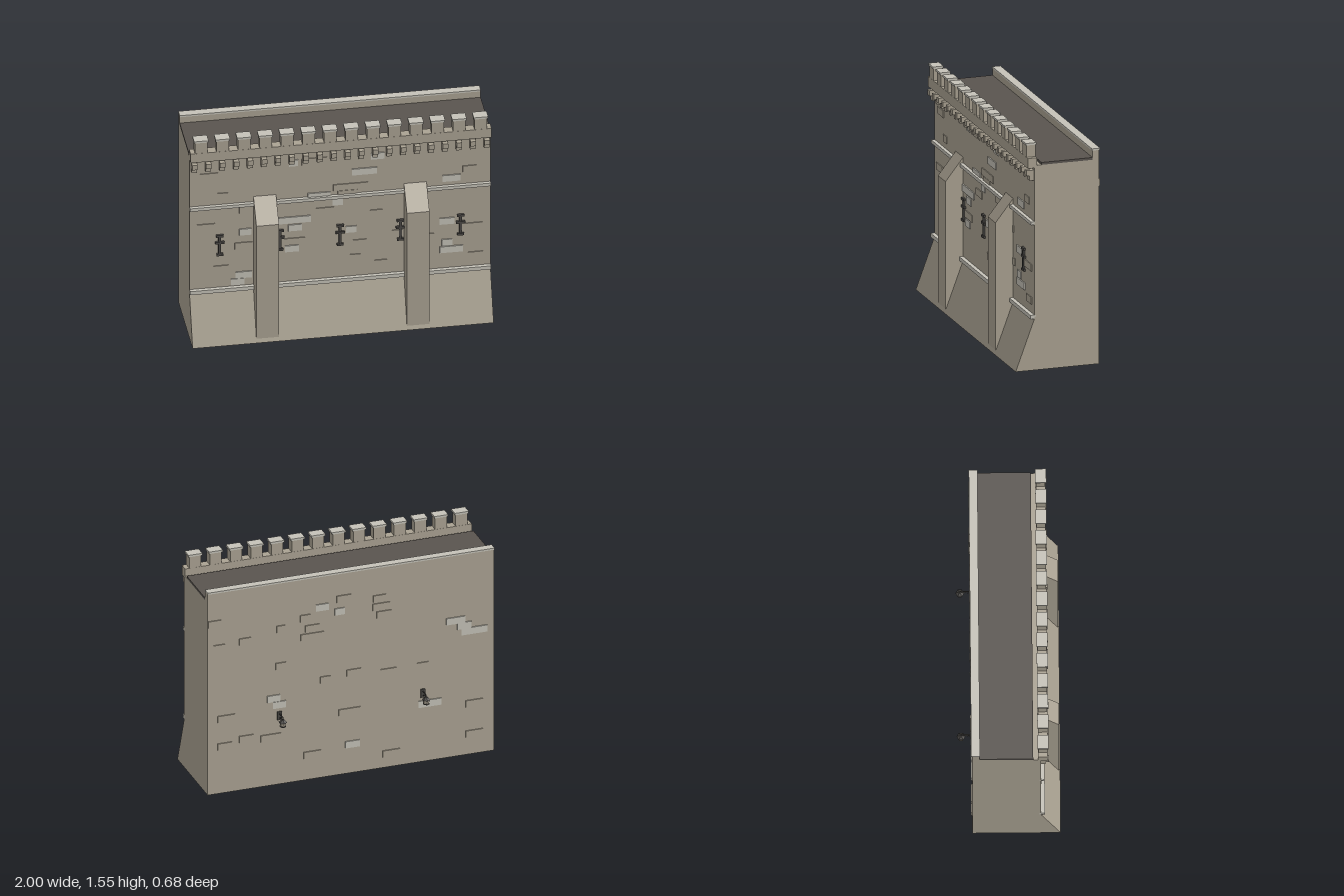
import * as THREE from 'three';

const mat = (name, color) => {
  const m = new THREE.MeshStandardMaterial({ color });
  m.name = name;
  return m;
};

export function createModel() {
  const stone = mat('stone', 0xaba393);
  const paleStone = mat('pale stone', 0xc5c2b8);
  const paving = mat('dark paving', 0x59544f);
  const iron = mat('iron', 0x4a4845);
  const root = new THREE.Group();
  root.name = 'castleWall';

  const add = (name, geo, material, parent = root) => {
    const mesh = new THREE.Mesh(geo, material);
    mesh.name = name;
    parent.add(mesh);
    return mesh;
  };
  // Box given by its limits on each axis
  const block = (name, x0, x1, y0, y1, z0, z1, material, parent) => {
    const geo = new THREE.BoxGeometry(x1 - x0, y1 - y0, z1 - z0);
    geo.translate((x0 + x1) / 2, (y0 + y1) / 2, (z0 + z1) / 2);
    return add(name, geo, material, parent);
  };
  // Side profile in [z, y], extruded across x
  const profile = (name, points, x0, x1, material) => {
    const shape = new THREE.Shape(points.map(([z, y]) => new THREE.Vector2(-z, y)));
    const geo = new THREE.ExtrudeGeometry(shape, { depth: x1 - x0, bevelEnabled: false });
    geo.rotateY(Math.PI / 2);
    geo.translate(x0, 0, 0);
    return add(name, geo, material);
  };

  // Wall with a battered foot
  profile('wallBody', [[0.34, 0], [0.21, 0.35], [0.21, 1.4], [-0.24, 1.4], [-0.24, 0]], -1, 1, stone);
  block('walkway', -1, 1, 1.4, 1.416, -0.193, 0.16, paving);

  // Rear parapet and coping
  block('rearParapet', -1, 1, 1.4, 1.463, -0.24, -0.193, stone);
  block('rearCoping', -1, 1, 1.463, 1.475, -0.247, -0.19, paleStone);

  // String courses
  block('lowerStringCourse', -1, 1, 0.35, 0.377, 0.2, 0.237, paleStone);
  block('upperStringCourse', -1, 1, 0.993, 1.016, 0.2, 0.234, paleStone);

  // Front parapet with merlons
  block('frontParapet', -1, 1, 1.383, 1.452, 0.192, 0.255, stone);
  for (let i = 0; i < 14; i++) {
    const x = -0.929 + i * 0.1429;
    block('merlon', x - 0.041, x + 0.041, 1.452, 1.535, 0.193, 0.254, stone);
    block('merlonCap', x - 0.048, x + 0.048, 1.535, 1.549, 0.188, 0.261, paleStone);
  }

  // Two-step corbels
  for (let i = 0; i < 22; i++) {
    const x = -0.972 + i * 0.0925;
    block('corbelUpper', x - 0.018, x + 0.018, 1.33, 1.366, 0.2, 0.262, stone);
    block('corbelLower', x - 0.018, x + 0.018, 1.295, 1.33, 0.2, 0.24, stone);
  }

  // Buttresses with sloped heads
  for (const x of [-0.5, 0.5]) {
    profile('buttress', [[0.333, 0.03], [0.333, 0.9], [0.21, 1.055], [0.18, 1.055], [0.18, 0.03]],
      x - 0.075, x + 0.075, stone);
  }

  // Iron wall anchors
  for (const x of [-0.8, -0.4, 0, 0.4, 0.8]) {
    const anchor = new THREE.Group();
    anchor.name = 'wallAnchor';
    root.add(anchor);
    block('anchorBar', x - 0.009, x + 0.009, 0.63, 0.785, 0.205, 0.222, iron, anchor);
    for (const [y, w] of [[0.777, 0.024], [0.725, 0.03], [0.633, 0.022]]) {
      block('anchorCross', x - w, x + w, y - 0.008, y + 0.008, 0.205, 0.225, iron, anchor);
    }
  }

  // Raised stones: [centre x, centre y, width]
  const frontPale = [
    [-0.31, 1.29, 0.06], [0.25, 1.29, 0.09], [0.12, 1.18, 0.08], [0.2, 1.18, 0.09],
    [0.74, 1.07, 0.12], [-0.14, 1.02, 0.15], [-0.015, 0.96, 0.07], [-0.27, 0.85, 0.15],
    [-0.38, 0.85, 0.1], [-0.63, 0.79, 0.08], [-0.3, 0.79, 0.09], [0.075, 0.74, 0.07],
    [0.71, 0.74, 0.1], [-0.32, 0.63, 0.09], [0.71, 0.575, 0.07], [0.74, 0.52, 0.155],
    [-0.64, 0.46, 0.11], [-0.68, 0.41, 0.09]];
  const frontPlain = [
    [-0.17, 1.29, 0.17], [-0.78, 1.08, 0.07], [0.86, 1.13, 0.09], [0.07, 1.07, 0.23],
    [0.05, 1.02, 0.13], [-0.31, 0.685, 0.15], [-0.64, 0.685, 0.12], [0.87, 0.685, 0.155],
    [0.13, 0.63, 0.09], [0.28, 0.96, 0.09], [-0.63, 0.96, 0.08], [0.38, 0.68, 0.07],
    [0.6, 0.63, 0.05], [-0.89, 0.85, 0.12], [0.1, 0.52, 0.07], [0.53, 0.85, 0.12],
    [0.24, 0.85, 0.08], [-0.87, 1.24, 0.12], [-0.1, 0.9, 0.12], [-0.79, 0.52, 0.1],
    [0.27, 0.46, 0.08], [0.9, 0.46, 0.1]];
  const backPale = [
    [0.2, 1.24, 0.09], [0.08, 1.19, 0.07], [0.54, 0.63, 0.09], [0.5, 0.58, 0.09],
    [-0.73, 0.99, 0.13], [-0.79, 0.945, 0.1], [-0.86, 0.9, 0.18], [-0.01, 0.21, 0.1],
    [-0.55, 0.42, 0.16]];
  const backPlain = [
    [0.95, 1.24, 0.09], [0.92, 1.06, 0.08], [0.74, 1.08, 0.08], [0.49, 1.13, 0.06],
    [0.05, 1.28, 0.1], [0.32, 1.18, 0.07], [0.27, 1.04, 0.16], [0.27, 1.1, 0.1],
    [-0.2, 1.24, 0.09], [-0.21, 1.18, 0.12], [-0.23, 1.12, 0.1], [0.49, 0.86, 0.07],
    [0.87, 0.54, 0.12], [0.88, 0.34, 0.1], [0.73, 0.37, 0.1], [0.56, 0.35, 0.14],
    [0.18, 0.71, 0.07], [-0.02, 0.73, 0.1], [-0.26, 0.695, 0.11], [-0.5, 0.7, 0.08],
    [0.01, 0.45, 0.15], [0.27, 0.18, 0.12], [-0.28, 0.1, 0.12], [-0.86, 0.37, 0.12],
    [-0.86, 0.15, 0.12]];
  const stones = (name, list, z0, z1, material) => {
    for (const [x, y, w] of list) {
      block(name, x - w / 2, x + w / 2, y - 0.024, y + 0.024, z0, z1, material);
    }
  };
  stones('frontPaleStone', frontPale, 0.2, 0.218, paleStone);
  stones('frontStone', frontPlain, 0.2, 0.216, stone);
  stones('backPaleStone', backPale, -0.248, -0.23, paleStone);
  stones('backStone', backPlain, -0.248, -0.23, stone);

  // Hanging lanterns on the back
  const rod = (name, a, b, r, parent) => {
    const curve = new THREE.LineCurve3(new THREE.Vector3(...a), new THREE.Vector3(...b));
    add(name, new THREE.TubeGeometry(curve, 1, r, 6), iron, parent);
  };
  for (const x of [-0.5, 0.5]) {
    const lantern = new THREE.Group();
    lantern.name = 'lantern';
    root.add(lantern);
    block('bracketPlate', x - 0.016, x + 0.016, 0.47, 0.53, -0.25, -0.235, iron, lantern);
    rod('bracketArm', [x, 0.515, -0.24], [x, 0.515, -0.312], 0.004, lantern);
    rod('bracketBrace', [x, 0.482, -0.245], [x, 0.513, -0.305], 0.003, lantern);
    rod('lanternHook', [x, 0.515, -0.31], [x, 0.492, -0.31], 0.003, lantern);
    const hex = (name, r0, r1, y0, y1, material) => {
      const geo = new THREE.CylinderGeometry(r1, r0, y1 - y0, 6).toNonIndexed();
      geo.computeVertexNormals();
      geo.translate(x, (y0 + y1) / 2, -0.31);
      add(name, geo, material, lantern);
    };
    hex('lanternRoof', 0.029, 0.01, 0.482, 0.5, iron);
    hex('lanternPane', 0.02, 0.021, 0.457, 0.482, stone);
    hex('lanternBase', 0.022, 0.022, 0.45, 0.457, iron);
  }
  return root;
}
